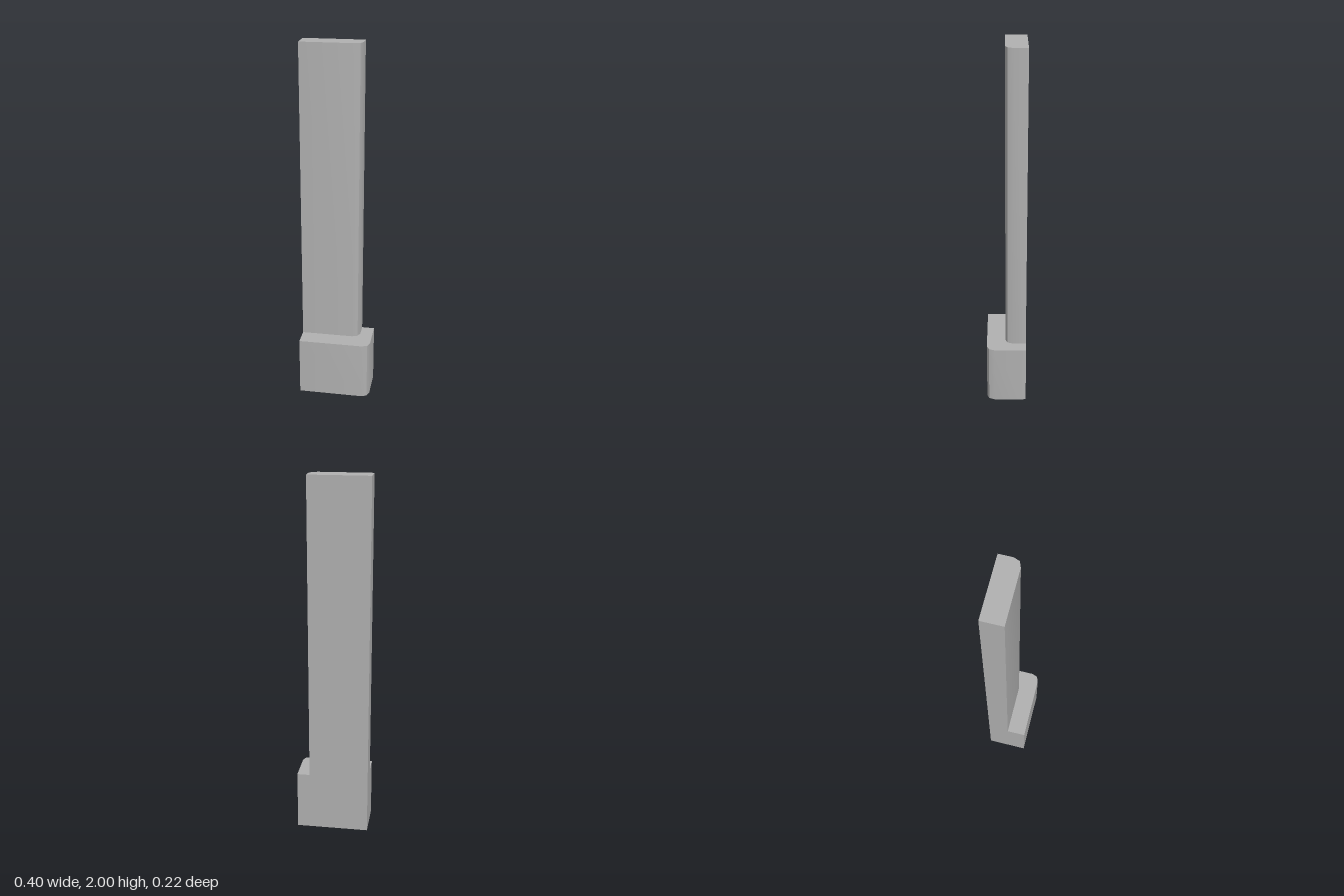
import * as THREE from 'three';
import { toCreasedNormals } from 'three/addons/utils/BufferGeometryUtils.js';

const LEFT = -0.2;
const BACK = -0.11;

// Upright block with a flush back and side, and one chamfer-rounded front corner
function cornerBlock(name, side, front, bottom, top, material) {
  const shape = new THREE.Shape([
    [LEFT, BACK],
    [side, BACK],
    [side, front - 0.042],
    [side - 0.012, front - 0.012],
    [side - 0.042, front],
    [LEFT, front],
  ].map(([x, z]) => new THREE.Vector2(x, -z)));
  const block = new THREE.ExtrudeGeometry(shape, { depth: top - bottom, bevelEnabled: false });
  block.rotateX(-Math.PI / 2);
  block.translate(0, bottom, 0);
  block.clearGroups();
  const mesh = new THREE.Mesh(toCreasedNormals(block, 0.6), material);
  mesh.name = name;
  return mesh;
}

export function createModel() {
  const stone = new THREE.MeshStandardMaterial({ color: 0xb0b0b0 });
  stone.name = 'grey stone';

  const model = new THREE.Group();
  model.name = 'cornerPilaster';
  // Wide plinth at the foot, slim shaft above it
  model.add(cornerBlock('plinth', 0.2, 0.11, 0, 0.33, stone));
  model.add(cornerBlock('shaft', 0.13, 0.006, 0.33, 2, stone));
  return model;
}
